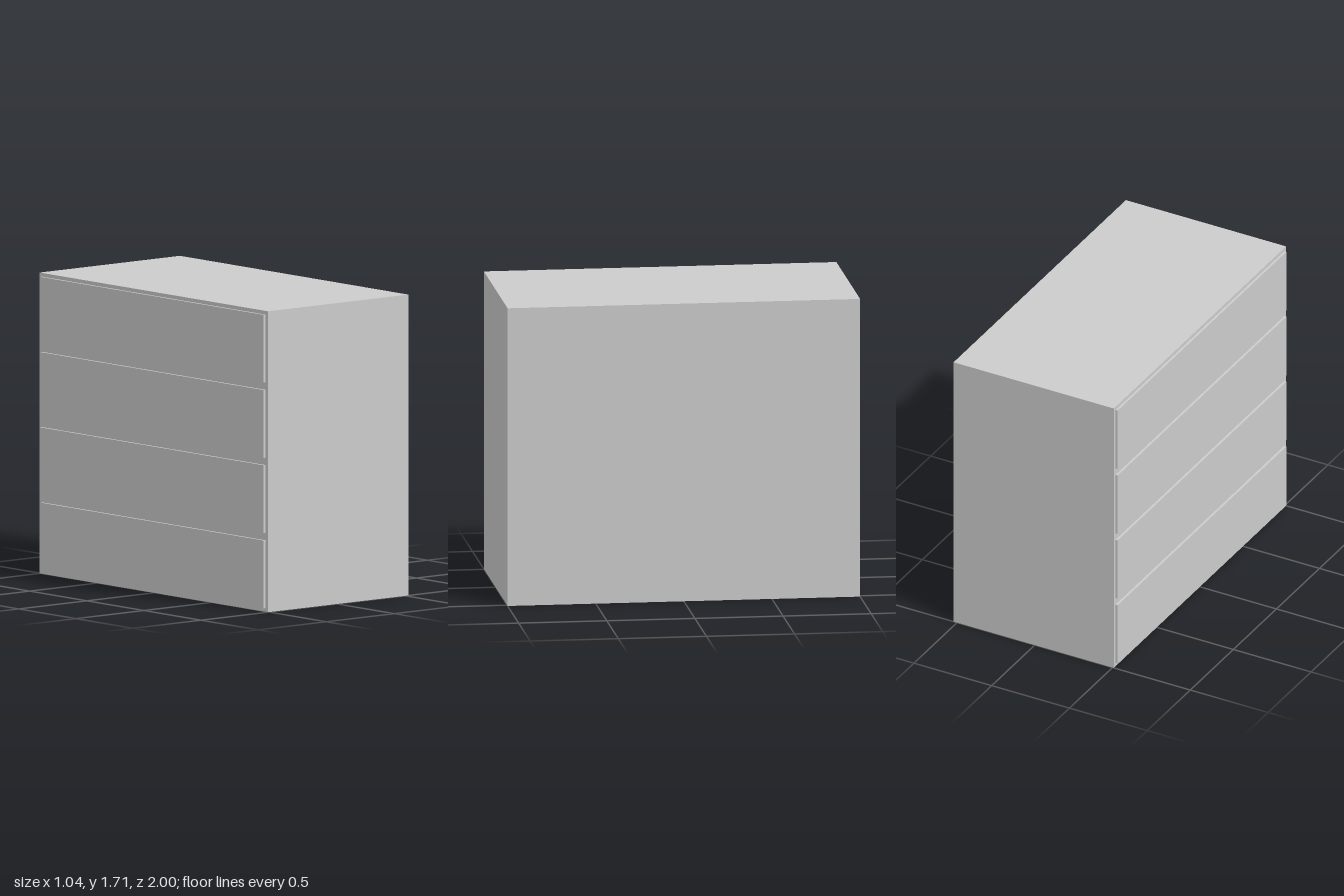
import * as THREE from 'three';

export function createModel() {
  const model = new THREE.Group();
  model.name = 'chestOfDrawers';
  const material = new THREE.MeshStandardMaterial({ color: 0xcccccc, flatShading: true });

  const addBox = (name, [x0, x1], [y0, y1], [z0, z1]) => {
    const mesh = new THREE.Mesh(new THREE.BoxGeometry(x1 - x0, y1 - y0, z1 - z0), material);
    mesh.position.set((x0 + x1) / 2, (y0 + y1) / 2, (z0 + z1) / 2);
    mesh.name = name;
    model.add(mesh);
  };

  // Cabinet body
  const height = 1.71, bodySide = -0.508;
  addBox('cabinetBody', [bodySide, 0.522], [0, height], [-1, 1]);

  // Four drawer fronts, evenly stacked on the -x side
  const count = 4, margin = 0.021, gap = 0.042;
  const drawerHeight = (height - 2 * margin - (count - 1) * gap) / count;
  for (let i = 0; i < count; i++) {
    const y = margin + i * (drawerHeight + gap);
    addBox(`drawerFront${i + 1}`, [-0.522, bodySide], [y, y + drawerHeight], [-0.979, 0.979]);
  }
  return model;
}
